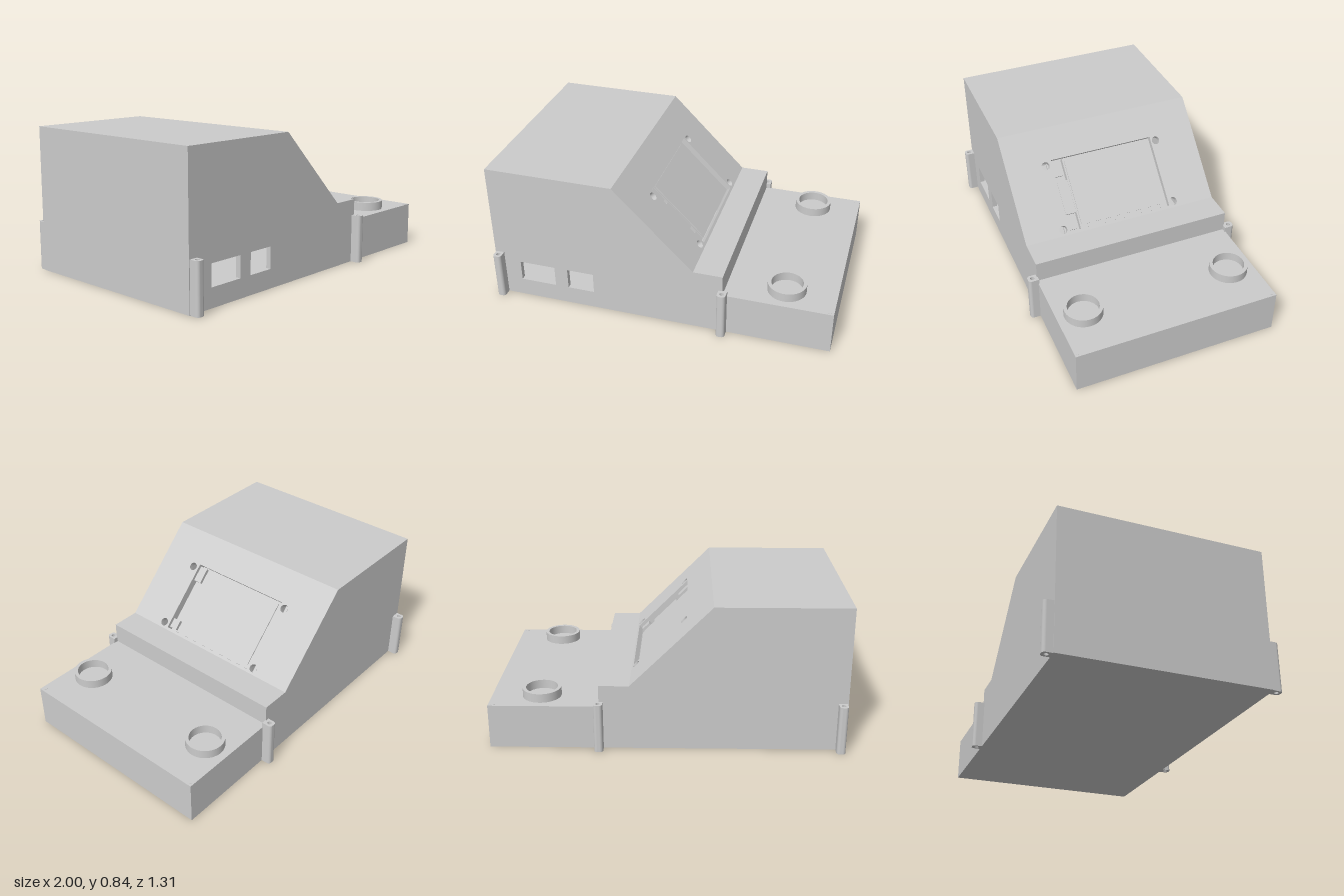
import * as THREE from 'three';

const WALL = 0.03, HALF = 0.6;
const mat = new THREE.MeshStandardMaterial({ color: 0xcccccc });

function add(parent, name, geo, x = 0, y = 0, z = 0) {
  const m = new THREE.Mesh(geo, mat);
  m.name = name;
  m.position.set(x, y, z);
  parent.add(m);
  return m;
}

function rect(Type, x0, y0, x1, y1) {
  const s = new Type();
  s.moveTo(x0, y0).lineTo(x1, y0).lineTo(x1, y1).lineTo(x0, y1).closePath();
  return s;
}

const circle = (x, y, r) => new THREE.Path().absarc(x, y, r, 0, Math.PI * 2, true);
const extrude = (shape, depth) =>
  new THREE.ExtrudeGeometry(shape, { depth, bevelEnabled: false, curveSegments: 24 });

// Case outline seen from the front, clockwise from the lower left
const outline = [[-1, 0], [-1, 0.84], [-0.25, 0.84], [0.21, 0.38],
  [0.38, 0.38], [0.38, 0.255], [1, 0.255], [1, 0]].map(p => new THREE.Vector2(...p));
const panelNames = ['endWall', 'roof', 'slopedPanel', 'ledge', 'step', 'lid', 'noseWall', 'floor'];

// Group whose x runs along the case depth, y along an outline edge, z outward
function edgeFrame(i) {
  const a = outline[i], b = outline[(i + 1) % outline.length];
  const d = b.clone().sub(a).normalize();
  const g = new THREE.Group();
  g.matrix.makeBasis(new THREE.Vector3(0, 0, 1), new THREE.Vector3(d.x, d.y, 0),
    new THREE.Vector3(-d.y, d.x, 0)).setPosition(a.x, a.y, 0);
  g.matrix.decompose(g.position, g.quaternion, g.scale);
  return { g, length: a.distanceTo(b) };
}

// Display seated in the sloped panel
function addDisplay(g) {
  const display = new THREE.Group();
  display.name = 'display';
  const block = (name, x0, x1, y0, y1, top, depth) => add(display, name,
    new THREE.BoxGeometry(x1 - x0, y1 - y0, depth), (x0 + x1) / 2, (y0 + y1) / 2, top - depth / 2);
  block('circuitBoard', -0.33, 0.34, 0.19, 0.64, -0.07, 0.015);
  block('screenBacking', -0.315, 0.25, 0.198, 0.632, -0.033, 0.036);
  block('screenGlass', -0.285, 0.24, 0.212, 0.61, -0.027, 0.01);
  block('flexCable', 0.25, 0.315, 0.33, 0.53, -0.035, 0.03);
  block('upperClip', 0.275, 0.325, 0.205, 0.3, -0.02, 0.02);
  block('lowerClip', 0.275, 0.325, 0.565, 0.625, -0.02, 0.02);
  g.add(display);
}

export function createModel() {
  const model = new THREE.Group();
  model.name = 'consoleCase';

  // Side walls; the front one has two connector windows
  for (const front of [true, false]) {
    const s = new THREE.Shape(outline);
    if (front) {
      s.holes.push(rect(THREE.Path, -0.845, 0.11, -0.63, 0.235),
        rect(THREE.Path, -0.55, 0.11, -0.39, 0.235));
    }
    add(model, front ? 'frontWall' : 'backWall', extrude(s, WALL), 0, 0, front ? HALF - WALL : -HALF);
  }

  // Panels along the outline, thickness going inward
  panelNames.forEach((name, i) => {
    const { g, length } = edgeFrame(i);
    const w = HALF - WALL;
    const s = rect(THREE.Shape, -w, 0, w, length);
    if (name === 'slopedPanel') {
      s.holes.push(rect(THREE.Path, -0.315, 0.198, 0.325, 0.634));
      for (const x of [-0.347, 0.364]) for (const y of [0.226, 0.614]) s.holes.push(circle(x, y, 0.024));
      addDisplay(g);
    }
    g.name = name;
    add(g, name, extrude(s, WALL), 0, 0, -WALL);
    model.add(g);
  });

  // Raised rings and small corner screws on the lid
  const ring = [[0.09, 0], [0.11, 0], [0.11, 0.052], [0.09, 0.052], [0.09, 0]];
  for (const side of [1, -1]) {
    const g = new THREE.Group();
    g.name = 'buttonRing';
    for (let i = 0; i < 4; i++) {
      const pts = [ring[i], ring[i + 1]].map(p => new THREE.Vector2(...p));
      add(g, 'ringFace', new THREE.LatheGeometry(pts, 48));
    }
    g.position.set(0.715, 0.255, side * 0.447);
    model.add(g);
    add(model, 'lidScrew', new THREE.CylinderGeometry(0.012, 0.012, 0.004, 16), 0.975, 0.2545, side * 0.58);
  }

  // Screw lugs on both long sides
  const lug = new THREE.Shape();
  lug.moveTo(-0.025, -0.005).lineTo(0.025, -0.005).lineTo(0.025, 0.037);
  lug.absarc(0.007, 0.037, 0.018, 0, Math.PI / 2, false);
  lug.absarc(-0.007, 0.037, 0.018, Math.PI / 2, Math.PI, false);
  lug.closePath();
  lug.holes.push(circle(0, 0.028, 0.012));
  const lugGeo = extrude(lug, 0.285).rotateX(-Math.PI / 2);
  for (const x of [-0.97, 0.382]) {
    for (const side of [1, -1]) {
      add(model, 'screwLug', lugGeo, x, 0, side * HALF).rotation.y = side > 0 ? Math.PI : 0;
    }
  }
  return model;
}
